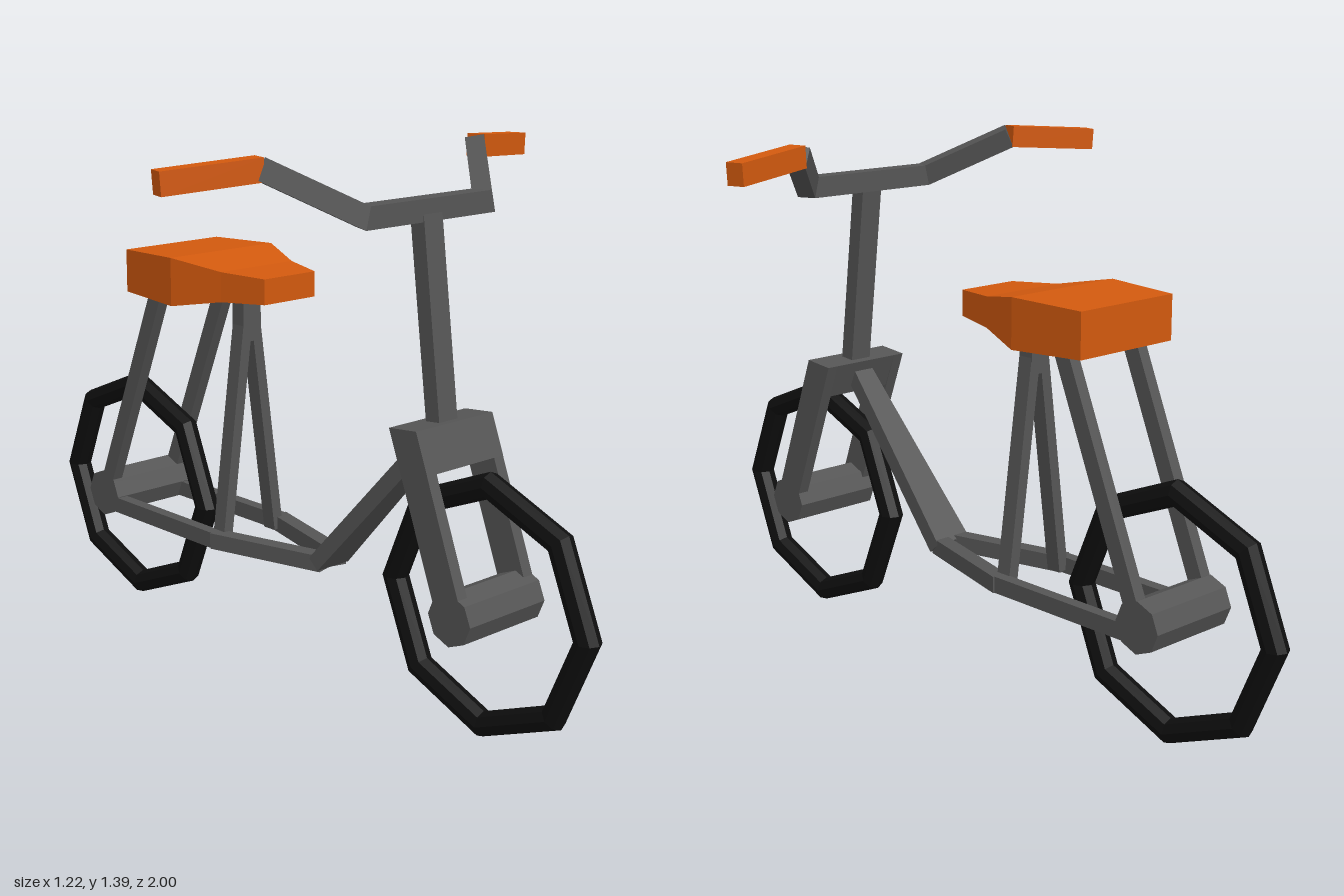
import * as THREE from 'three';

const material = (color) => new THREE.MeshStandardMaterial({ color, flatShading: true });

export function createModel() {
  const model = new THREE.Group();
  const frame = material(0x555555);
  const orange = material(0xd2590e);
  const rubber = material(0x0e0e0e);
  const V = (x, y, z) => new THREE.Vector3(x, y, z);

  function add(name, geometry, mat, position) {
    const mesh = new THREE.Mesh(geometry, mat);
    mesh.name = name;
    if (position) mesh.position.copy(position);
    model.add(mesh);
    return mesh;
  }

  // Closed solid through rings of corners, counter-clockwise about the travel direction
  function loft(rings) {
    const pos = [];
    const tri = (...points) => points.forEach((p) => pos.push(p.x, p.y, p.z));
    const n = rings[0].length;
    for (let r = 0; r < rings.length - 1; r++) {
      const a = rings[r], b = rings[r + 1];
      for (let i = 0; i < n; i++) {
        const j = (i + 1) % n;
        tri(a[i], a[j], b[j]);
        tri(a[i], b[j], b[i]);
      }
    }
    const first = rings[0], last = rings[rings.length - 1];
    for (let i = 1; i < n - 1; i++) {
      tri(first[0], first[i + 1], first[i]);
      tri(last[0], last[i], last[i + 1]);
    }
    const geometry = new THREE.BufferGeometry();
    geometry.setAttribute('position', new THREE.Float32BufferAttribute(pos, 3));
    geometry.computeVertexNormals();
    return geometry;
  }

  // Box bar between two points
  function beam(name, a, b, w, h, mat = frame) {
    const geometry = new THREE.BoxGeometry(w, h, a.distanceTo(b));
    const mesh = add(name, geometry, mat, a.clone().add(b).multiplyScalar(0.5));
    mesh.lookAt(b);
  }

  // Side profile of [y, z] points stretched from x0 to x1
  const slab = (x0, x1, profile) =>
    loft([x0, x1].map((x) => profile.map(([y, z]) => V(x, y, z))));

  // Octagonal wheels and hubs
  for (const [end, z] of [['front', 0.667], ['rear', -0.667]]) {
    const centre = V(0, 0.335, z);
    add(end + 'Tyre', new THREE.TorusGeometry(0.3, 0.033, 8, 8).rotateY(Math.PI / 2), rubber, centre);
    add(end + 'Hub', new THREE.CylinderGeometry(0.066, 0.066, 0.264, 8).rotateZ(Math.PI / 2), frame, centre);
  }

  // Fork crown and stem
  add('forkCrown', slab(-0.132, 0.132,
    [[0.757, 0.465], [0.765, 0.552], [0.665, 0.59], [0.665, 0.503]]), frame);
  beam('steeringStem', V(0, 0.72, 0.515), V(0, 1.25, 0.447), 0.063, 0.043);

  // Down tube, flat and widening towards the bottom
  const across = V(0, 0.66, -0.75).multiplyScalar(0.021);
  add('downTube', loft([[0.055, 0.31, 0.125], [0.03, 0.735, 0.51]].map(([w, y, z]) =>
    [[w, -1], [w, 1], [-w, 1], [-w, -1]].map(([x, s]) =>
      V(x, y, z).addScaledVector(across, s)))), frame);

  // Paired fork legs, stays and struts
  for (const [side, s] of [['left', 1], ['right', -1]]) {
    const x0 = s > 0 ? 0.1 : -0.132;
    add(side + 'ForkLeg', slab(x0, x0 + 0.032,
      [[0.757, 0.465], [0.765, 0.552], [0.35, 0.708], [0.32, 0.632]]), frame);
    beam(side + 'FrontChainStay', V(s * 0.027, 0.312, 0.135), V(s * 0.116, 0.312, -0.195), 0.042, 0.043);
    beam(side + 'RearChainStay', V(s * 0.116, 0.312, -0.18), V(s * 0.116, 0.312, -0.667), 0.032, 0.043);
    beam(side + 'SeatStay', V(s * 0.116, 0.335, -0.667), V(s * 0.116, 0.965, -0.405), 0.032, 0.045);
    beam(side + 'SeatStrut', V(s * 0.092, 0.3, -0.192), V(s * 0.014, 0.89, -0.192), 0.043, 0.03);
  }
  add('seatPost', new THREE.BoxGeometry(0.06, 0.14, 0.044), frame, V(0, 0.91, -0.192));

  // Handlebar with mitred bends
  const bend = V(0.2, 1.256, 0.445), tip = V(0.36, 1.362, 0.274), gripEnd = V(0.6, 1.344, 0.203);
  const rise = tip.clone().sub(bend).normalize();
  const mitre = rise.clone().add(V(1, 0, 0));
  const corners = [[1, -1], [1, 1], [-1, 1], [-1, -1]].map(([y, z]) => V(0, y * 0.027, z * 0.024));
  const bendOffsets = corners.map((c) => c.clone().setX(-c.dot(mitre) / mitre.x));
  const bendRing = bendOffsets.map((o) => o.clone().add(bend));
  const tipRing = bendOffsets.map((o) => o.clone().addScaledVector(rise, -o.dot(rise)).add(tip));
  const mirror = (ring) => ring.map((p) => V(-p.x, p.y, p.z));
  add('handlebar', loft([mirror(tipRing), mirror(bendRing), bendRing, tipRing]), frame);
  beam('leftGrip', tip, gripEnd, 0.048, 0.056, orange);
  beam('rightGrip', ...mirror([tip, gripEnd]), 0.048, 0.056, orange);

  // Seat: half width, bottom, top and z of each section, rear to front
  const sections = [
    [0.157, 0.946, 1.06, -0.5],
    [0.174, 0.939, 1.066, -0.29],
    [0.122, 0.963, 1.041, -0.15],
    [0.086, 0.969, 1.035, -0.023],
  ];
  add('seat', loft(sections.map(([w, b, t, z]) =>
    [V(w, b, z), V(w, t, z), V(-w, t, z), V(-w, b, z)])), orange);

  return model;
}
